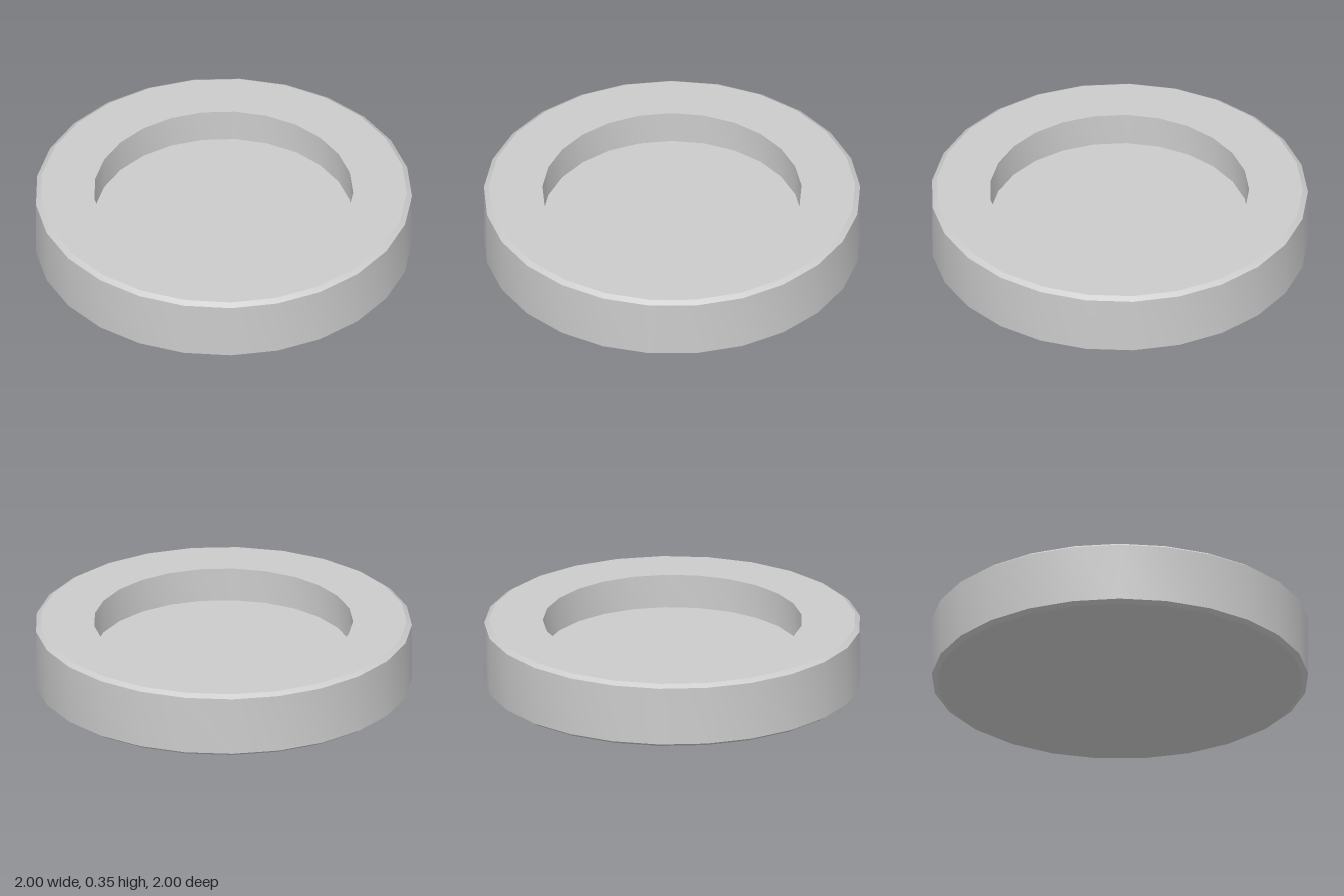
import * as THREE from 'three';
import { toCreasedNormals } from 'three/addons/utils/BufferGeometryUtils.js';

export function createModel() {
  const group = new THREE.Group();
  group.name = 'recessedDisc';

  const sides = 25;
  const R = 1.002;        // outer radius
  const H = 0.352;        // overall height
  const bevelIn = 0.027;  // bevel width
  const bevelUp = 0.018;  // bevel height
  const holeR = 0.69;     // recess radius
  const floorY = 0.168;   // recess floor

  // Closed profile: underside, bevelled wall, flat rim, recess wall, recess floor
  const profile = [
    [0, 0],
    [R - bevelIn, 0],
    [R, bevelUp],
    [R, H - bevelUp],
    [R - bevelIn, H],
    [holeR, H],
    [holeR, floorY],
    [0, floorY],
  ].map(([r, y]) => new THREE.Vector2(r, y));

  // A corner lies on +x; smooth round the wall, sharp at the bevels
  const lathe = new THREE.LatheGeometry(profile, sides, Math.PI / 2);
  const geometry = toCreasedNormals(lathe, 0.45);
  const dish = new THREE.Mesh(geometry, new THREE.MeshStandardMaterial({ color: 0xcccccc }));
  dish.name = 'dish';
  dish.position.x = -0.004; // odd side count: centre the bounds
  group.add(dish);

  return group;
}
